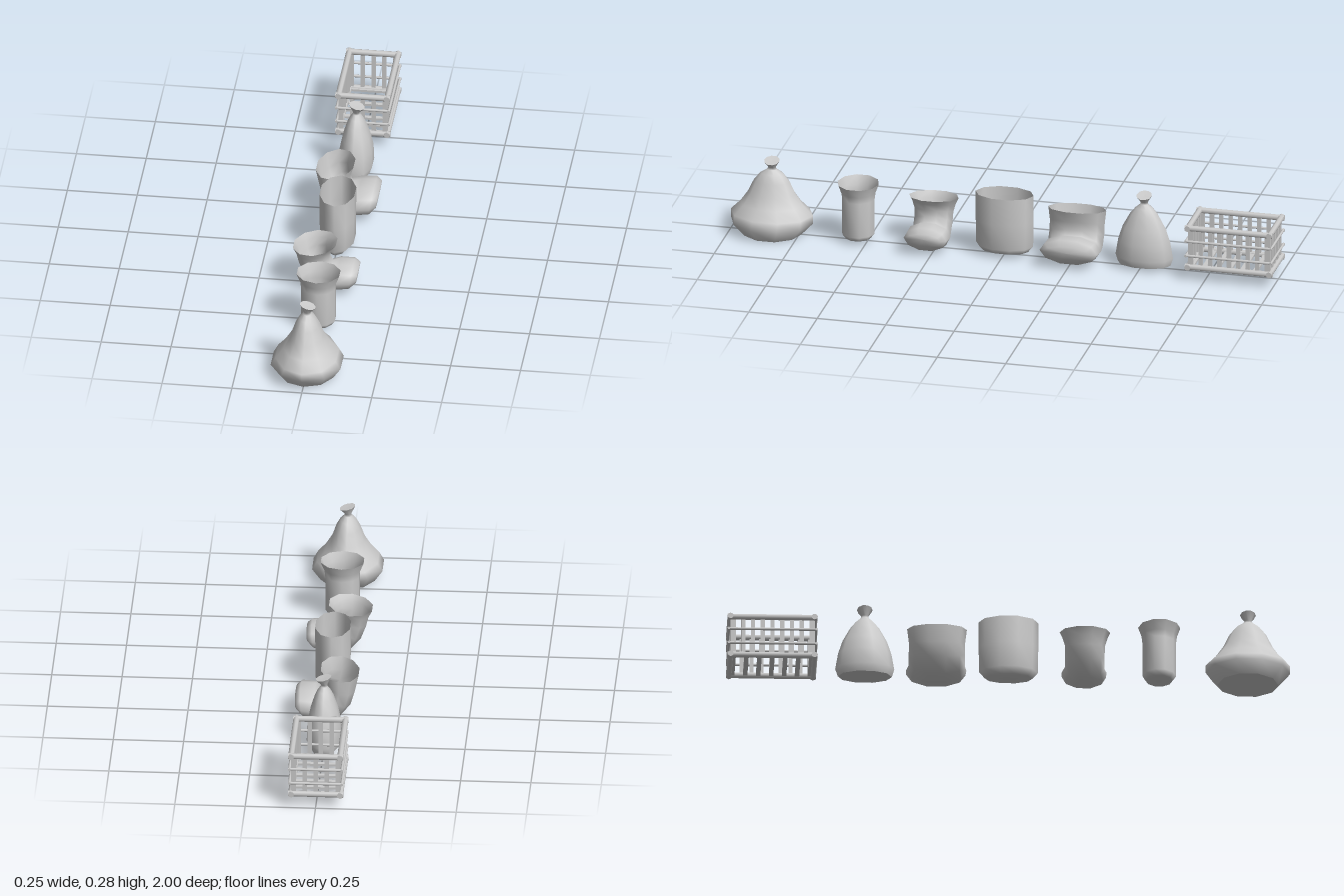
import * as THREE from 'three';

const material = new THREE.MeshStandardMaterial({ color: 0xcccccc, side: THREE.DoubleSide });
const SIDES = 10;

// Skin through ten-sided rings. Each ring is [leftX, leftY, rightX, rightY, halfDepth].
function skin(name, z, rings) {
  const pos = [], index = [], xMax = Math.sin(Math.PI * 0.4);
  for (const [ax, ay, bx, by, w] of rings) {
    for (let j = 0; j < SIDES; j++) {
      const a = (j / SIDES) * Math.PI * 2, s = Math.sin(a) / xMax;
      pos.push((ax + bx) / 2 + ((bx - ax) / 2) * s, (ay + by) / 2 + ((by - ay) / 2) * s, w * Math.cos(a));
    }
  }
  for (let i = 0; i < rings.length - 1; i++) {
    for (let j = 0; j < SIDES; j++) {
      const a = i * SIDES + j, b = i * SIDES + ((j + 1) % SIDES);
      index.push(a, b, a + SIDES, b, b + SIDES, a + SIDES);
    }
  }
  const geo = new THREE.BufferGeometry();
  geo.setAttribute('position', new THREE.Float32BufferAttribute(pos, 3));
  geo.setIndex(index);
  geo.computeVertexNormals();
  const mesh = new THREE.Mesh(geo, material);
  mesh.name = name;
  mesh.position.z = z;
  return mesh;
}

// Level ring
const level = (y, rx, rz) => [-rx, y, rx, y, rz];

// Tilted flare of gathered cloth above the tie of a sack
const knot = [
  level(0.248, 0.011, 0.013),
  [-0.025, 0.28, 0.029, 0.266, 0.028],
  [-0.025, 0.28, 0.029, 0.266, 0.028],
  [0.002, 0.272, 0.002, 0.272, 0],
];

// Slatted crate: rails round the outside, upright slats inside them, slatted floor
function crate() {
  const group = new THREE.Group();
  group.name = 'crate';
  group.position.z = -0.84;
  const add = (name, geo, x, y, z) => {
    const mesh = new THREE.Mesh(geo, material);
    mesh.name = name;
    mesh.position.set(x, y, z);
    group.add(mesh);
  };
  const hx = 0.098, hz = 0.16;
  for (const [y, r] of [[0.051, 0.011], [0.095, 0.005], [0.15, 0.005], [0.199, 0.011]]) {
    const alongZ = new THREE.CylinderGeometry(r, r, hz * 2, 8).rotateX(Math.PI / 2);
    const alongX = new THREE.CylinderGeometry(r, r, hx * 2, 8).rotateZ(Math.PI / 2);
    for (const s of [-1, 1]) {
      add('sideRail', alongZ, s * (hx - r), y, 0);
      add('endRail', alongX, 0, y, s * (hz - r));
    }
  }
  const sideSlat = new THREE.BoxGeometry(0.008, 0.15, 0.015);
  const endSlat = new THREE.BoxGeometry(0.015, 0.15, 0.008);
  for (const s of [-1, 1]) {
    for (let i = 0; i < 9; i++) add('sideSlat', sideSlat, s * 0.084, 0.125, -0.138 + i * 0.0345);
    for (let i = 0; i < 5; i++) add('endSlat', endSlat, -0.078 + i * 0.039, 0.125, s * 0.146);
  }
  const floorSlat = new THREE.BoxGeometry(0.176, 0.008, 0.016);
  for (let i = 0; i < 7; i++) add('floorSlat', floorSlat, 0, 0.05, -0.138 + i * 0.046);
  return group;
}

export function createModel() {
  const model = new THREE.Group();
  model.name = 'sacksAndCrate';

  // Wide slumped sack, tied at the top
  model.add(skin('wideTiedSack', 0.85, [
    level(0, 0, 0), level(0, 0.097, 0.108), level(0, 0.097, 0.108),
    level(0.045, 0.125, 0.15), level(0.075, 0.108, 0.15), level(0.11, 0.08, 0.115),
    level(0.15, 0.057, 0.087), level(0.195, 0.042, 0.066), level(0.225, 0.027, 0.042),
    level(0.24, 0.013, 0.018), ...knot,
  ]));

  // Narrow open sack with a flared mouth
  model.add(skin('narrowOpenSack', 0.535, [
    level(0.01, 0, 0), level(0.012, 0.047, 0.047), level(0.03, 0.06, 0.06),
    level(0.16, 0.06, 0.06), level(0.185, 0.063, 0.063), level(0.218, 0.076, 0.075),
  ]));

  // Small folded sack: closed end on the left, mouth tilted up to the right
  model.add(skin('smallFoldedSack', 0.27, [
    [0.109, 0.068, 0.109, 0.068, 0], [0.104, 0.042, 0.11, 0.088, 0.062],
    [0.08, 0.016, 0.092, 0.104, 0.078], [0.03, 0.006, 0.042, 0.106, 0.08],
    [-0.04, 0.004, 0.016, 0.096, 0.07], [-0.083, 0.055, 0.006, 0.115, 0.07],
    [-0.102, 0.105, 0.006, 0.14, 0.071], [-0.11, 0.14, 0.015, 0.165, 0.08],
    [-0.123, 0.165, 0.03, 0.184, 0.09],
  ]));

  // Oval open sack
  model.add(skin('ovalOpenSack', 0, [
    level(0.012, 0, 0), level(0.013, 0.04, 0.085), level(0.035, 0.06, 0.104),
    level(0.13, 0.061, 0.106), level(0.23, 0.062, 0.106),
  ]));

  // Large folded sack
  model.add(skin('largeFoldedSack', -0.255, [
    [0.115, 0.068, 0.115, 0.068, 0], [0.11, 0.045, 0.117, 0.094, 0.085],
    [0.085, 0.017, 0.1, 0.112, 0.105], [0.035, 0.01, 0.048, 0.108, 0.107],
    [-0.04, 0.01, 0.018, 0.098, 0.1], [-0.08, 0.06, 0.012, 0.118, 0.1],
    [-0.095, 0.11, 0.012, 0.148, 0.1], [-0.108, 0.172, 0.026, 0.19, 0.106],
  ]));

  // Slim sack, tied at the top
  model.add(skin('slimTiedSack', -0.51, [
    level(0.012, 0, 0), level(0.012, 0.05, 0.096), level(0.012, 0.05, 0.096),
    level(0.04, 0.06, 0.105), level(0.1, 0.058, 0.095), level(0.15, 0.048, 0.079),
    level(0.2, 0.033, 0.052), level(0.225, 0.022, 0.032), level(0.24, 0.012, 0.014), ...knot,
  ]));

  model.add(crate());
  return model;
}
